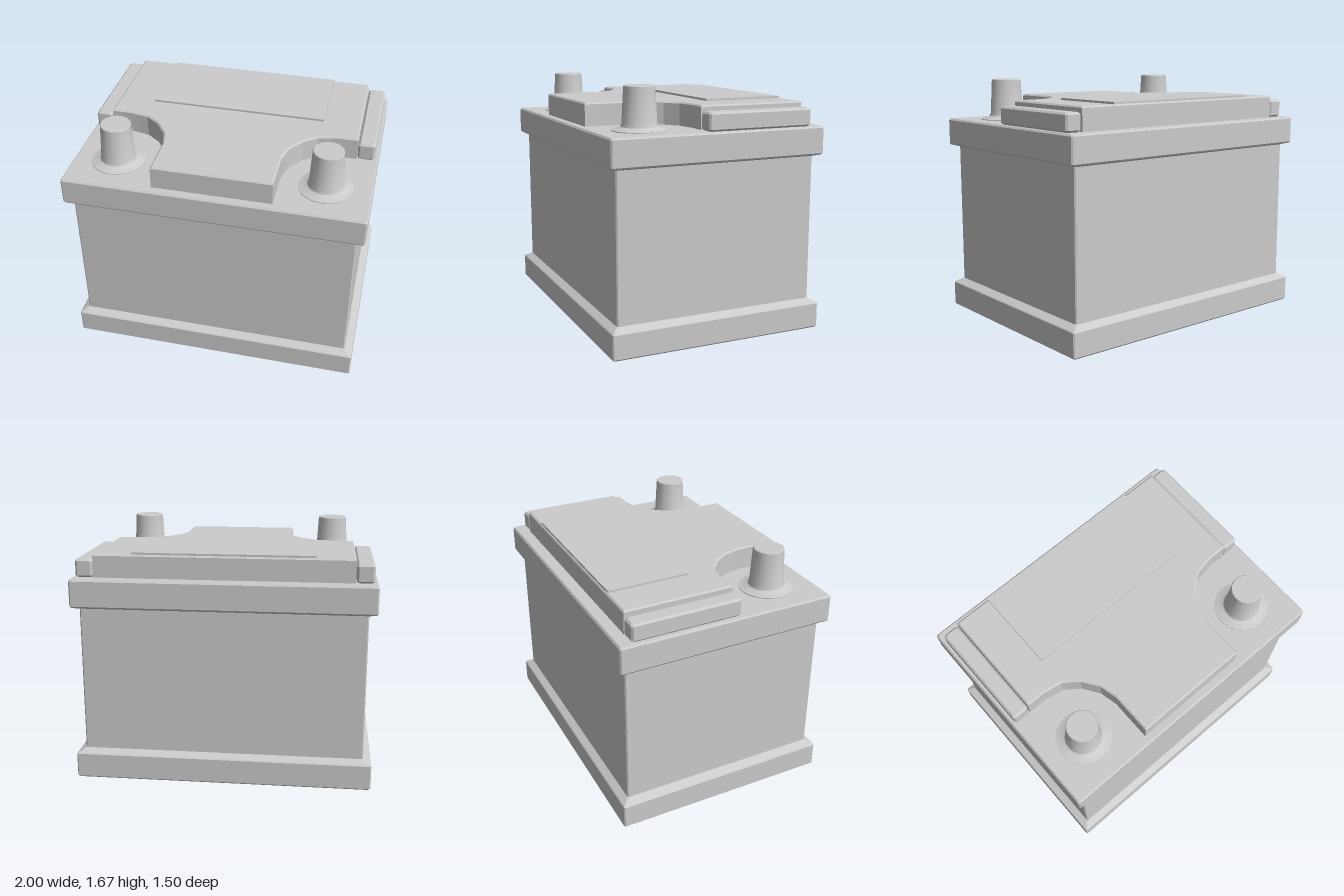
import * as THREE from 'three';
import { toCreasedNormals } from 'three/addons/utils/BufferGeometryUtils.js';

const material = new THREE.MeshStandardMaterial({ color: 0xcccccc });

function add(parent, name, geometry, x = 0, y = 0, z = 0) {
  const mesh = new THREE.Mesh(geometry, material);
  mesh.name = name;
  mesh.position.set(x, y, z);
  parent.add(mesh);
  return mesh;
}

// Stack of rectangles [halfX, halfZ, y] with chamfered corners, capped at both ends
function stackedBox(levels, chamfer) {
  const positions = [];
  const index = [];
  const n = 8;
  for (const [hx, hz, y] of levels) {
    const cx = hx - chamfer, cz = hz - chamfer;
    const ring = [[hx, cz], [hx, -cz], [cx, -hz], [-cx, -hz], [-hx, -cz], [-hx, cz], [-cx, hz], [cx, hz]];
    for (const [x, z] of ring) positions.push(x, y, z);
  }
  for (let l = 0; l < levels.length - 1; l++) {
    for (let i = 0; i < n; i++) {
      const a = l * n + i, b = l * n + (i + 1) % n;
      index.push(a, b, b + n, a, b + n, a + n);
    }
  }
  const top = (levels.length - 1) * n;
  for (let i = 1; i < n - 1; i++) {
    index.push(0, i + 1, i);
    index.push(top, top + i, top + i + 1);
  }
  const geometry = new THREE.BufferGeometry();
  geometry.setAttribute('position', new THREE.Float32BufferAttribute(positions, 3));
  geometry.setIndex(index);
  return toCreasedNormals(geometry, 0.3);
}

// Box with all edges chamfered, standing on y = 0
function chamferBox(w, h, d, c) {
  const x = w / 2, z = d / 2;
  return stackedBox([[x - c, z - c, 0], [x, z, c], [x, z, h - c], [x - c, z - c, h]], c);
}

// Outline of the raised cover: wide at the back, tongue at the front, scooped around the terminals
function coverGeometry() {
  const bevel = 0.01;
  const half = [[0.855, -0.66], [0.855, 0.085], [0.725, 0.085], [0.595, 0.11], [0.5, 0.18],
    [0.425, 0.29], [0.397, 0.41], [0.397, 0.695]];
  const mirrored = half.map(([x, z]) => [-x, z]).reverse();
  const shape = new THREE.Shape([...half, ...mirrored].map(([x, z]) => new THREE.Vector2(x, -z)));
  const geometry = new THREE.ExtrudeGeometry(shape, {
    depth: 0.155 - bevel, bevelSize: bevel, bevelThickness: bevel, bevelOffset: -bevel, bevelSegments: 1,
  });
  geometry.rotateX(-Math.PI / 2);
  return toCreasedNormals(geometry, 0.3);
}

// Tapered post with a flared foot
function terminalGeometry() {
  const profile = [[0, 0], [0.182, 0], [0.182, 0.006], [0.14, 0.016], [0.122, 0.026], [0.114, 0.045],
    [0.101, 0.278], [0.097, 0.283], [0, 0.283]].map(([r, y]) => new THREE.Vector2(r, y));
  return toCreasedNormals(new THREE.LatheGeometry(profile, 20), 0.5);
}

export function createModel() {
  const model = new THREE.Group();
  model.name = 'battery';

  // Case with a wide foot, and the lid overhanging it
  add(model, 'case', stackedBox([
    [0.99, 0.74, 0], [1, 0.75, 0.01], [1, 0.75, 0.17], [0.995, 0.745, 0.176],
    [0.945, 0.7, 0.203], [0.945, 0.7, 1.2],
  ], 0.008));
  add(model, 'lid', stackedBox([
    [0.945, 0.7, 1.185], [0.993, 0.743, 1.198], [1, 0.75, 1.208],
    [1, 0.75, 1.375], [0.99, 0.74, 1.387],
  ], 0.01));

  // Raised cover and its thin plate
  add(model, 'cover', coverGeometry(), 0, 1.387, 0);
  add(model, 'plate', new THREE.BoxGeometry(1.2, 0.03, 0.562), 0, 1.541, -0.368);

  // Side bars and terminals, mirrored
  const bar = chamferBox(0.115, 0.122, 0.748, 0.013);
  const terminal = terminalGeometry();
  for (const [side, s] of [['left', 1], ['right', -1]]) {
    add(model, side + 'Bar', bar, s * 0.917, 1.386, -0.288);
    add(model, side + 'Terminal', terminal, s * 0.7, 1.386, 0.44);
  }
  return model;
}
